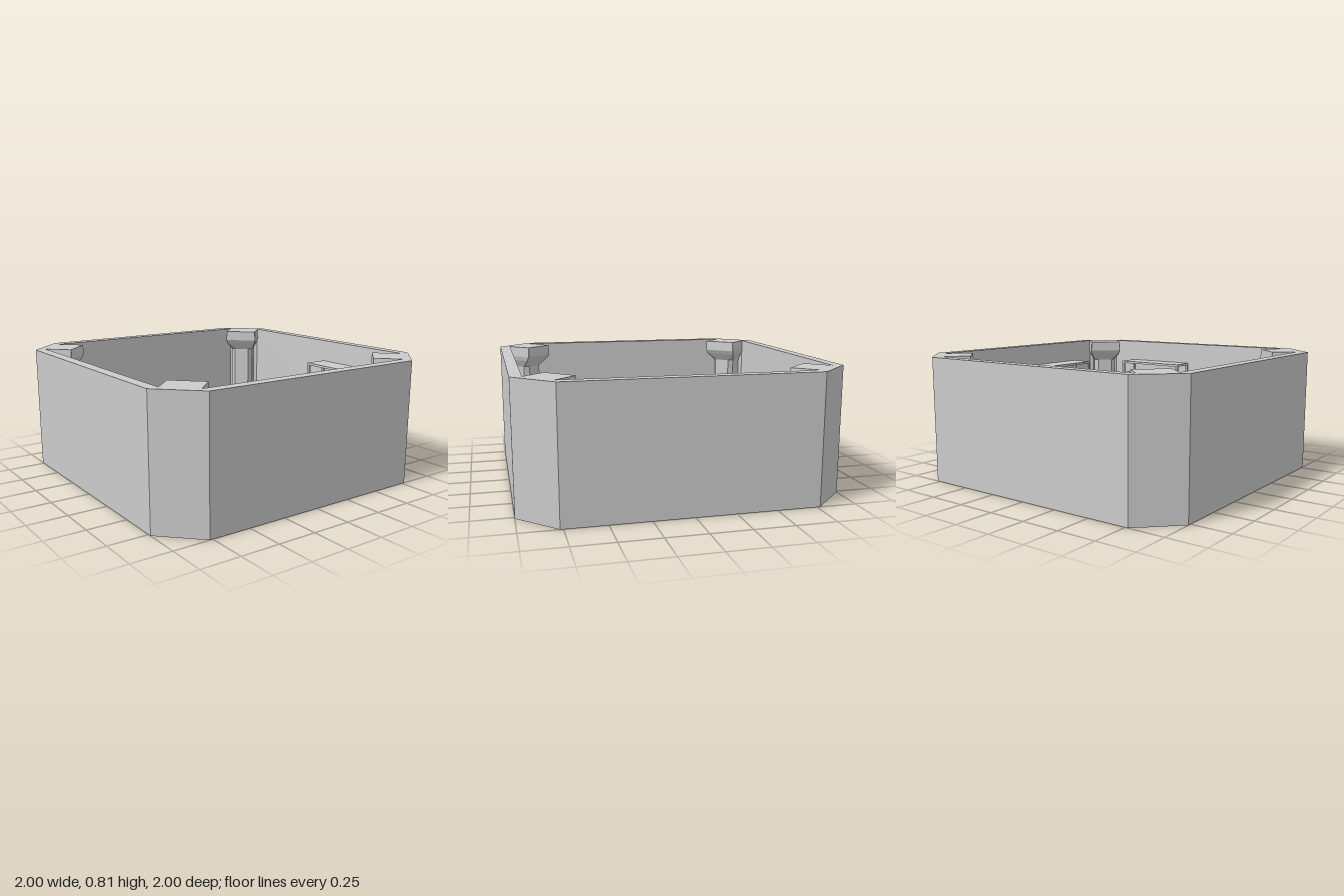
import * as THREE from 'three';

const grey = new THREE.MeshStandardMaterial({ color: 0xcccccc, flatShading: true });
const thin = new THREE.MeshStandardMaterial({ color: 0xcccccc, side: THREE.DoubleSide });
const FLOOR = 0.05, TOP = 0.81;

function add(parent, name, geometry, x = 0, y = 0, z = 0, material = grey) {
  const mesh = new THREE.Mesh(geometry, material);
  mesh.name = name;
  mesh.position.set(x, y, z);
  parent.add(mesh);
  return mesh;
}
const box = (parent, name, w, h, d, x, y, z) =>
  add(parent, name, new THREE.BoxGeometry(w, h, d), x, y, z);

function group(parent, name, x, z, turn) {
  const g = new THREE.Group();
  g.name = name;
  g.position.set(x, 0, z);
  g.rotation.y = turn;
  parent.add(g);
  return g;
}

// Square with cut corners: half side s, corners starting at c
const octagon = (s, c) => [[c, -s], [s, -c], [s, c], [c, s], [-c, s], [-s, c], [-s, -c], [-c, -s]]
  .map(([x, y]) => new THREE.Vector2(x, y));

const rectangle = (w, d) => [[-w, -d], [w, -d], [w, d], [-w, d]]
  .map(([x, y]) => new THREE.Vector2(x / 2, y / 2));

// Upright extrusion of an outline with an optional hole
function slab(outline, height, hole) {
  const shape = new THREE.Shape(outline);
  if (hole) shape.holes.push(new THREE.Path(hole));
  return new THREE.ExtrudeGeometry(shape, { depth: height, bevelEnabled: false }).rotateX(-Math.PI / 2);
}

// Loft through pillar levels [y, halfWidth, depth, cornerCut], back at z = 0
function pillarGeometry(levels) {
  const rings = levels.map(([y, w, d, c]) =>
    [[-w, 0], [-w, d - c], [c - w, d], [w - c, d], [w, d - c], [w, 0]].map(([x, z]) => [x, y, z]));
  const p = [];
  for (let k = 0; k < rings.length - 1; k++) {
    const a = rings[k], b = rings[k + 1];
    for (let i = 0; i < 6; i++) {
      const j = (i + 1) % 6;
      p.push(...a[i], ...a[j], ...b[j], ...a[i], ...b[j], ...b[i]);
    }
  }
  const top = rings[rings.length - 1];
  for (let i = 1; i < 5; i++) p.push(...top[0], ...top[i], ...top[i + 1]);
  const g = new THREE.BufferGeometry();
  g.setAttribute('position', new THREE.Float32BufferAttribute(p, 3));
  g.computeVertexNormals();
  return g;
}

function makeDesk(parent, x, z, turn) {
  const desk = group(parent, 'desk', x, z, turn);
  box(desk, 'deskTop', 0.47, 0.015, 0.2, 0, 0.207, 0);
  for (const sx of [-1, 1]) for (const sz of [-1, 1])
    box(desk, 'deskLeg', 0.014, 0.15, 0.014, sx * 0.222, 0.125, sz * 0.087);
  // Curved screen standing on the back of the desk
  const r = 0.18, arc = 1.32;
  add(desk, 'curvedScreen',
    new THREE.CylinderGeometry(r, r, 0.1, 32, 1, true, Math.PI - arc, arc * 2), 0.005, 0.275, 0.098, thin);
  for (const a of [-1.1, -0.5, 0.5, 1.1])
    box(desk, 'screenFoot', 0.01, 0.016, 0.01, 0.005 + r * Math.sin(a), 0.222, 0.098 - r * Math.cos(a));
  // Keyboard and mouse
  box(desk, 'keyboard', 0.15, 0.005, 0.044, -0.01, 0.217, 0.045);
  for (let row = 0; row < 4; row++) for (let col = 0; col < 13; col++)
    box(desk, 'key', 0.008, 0.004, 0.007, -0.076 + col * 0.011, 0.221, 0.03 + row * 0.01);
  box(desk, 'mouse', 0.014, 0.008, 0.022, 0.105, 0.218, 0.045);
}

function makeChair(parent, x, z, turn) {
  const chair = group(parent, 'chair', x, z, turn);
  box(chair, 'chairSeat', 0.1, 0.014, 0.09, 0, 0.135, 0);
  const back = box(chair, 'chairBack', 0.1, 0.095, 0.012, 0, 0.195, 0.04);
  back.rotation.x = 0.1;
  box(chair, 'chairBackArm', 0.018, 0.05, 0.008, 0, 0.15, 0.043);
  add(chair, 'chairPost', new THREE.CylinderGeometry(0.008, 0.008, 0.075, 8), 0, 0.095, 0);
  for (const a of [0, Math.PI / 2])
    box(chair, 'chairFoot', 0.085, 0.01, 0.012, 0, 0.056, 0).rotation.y = a;
}

// Storage bin with a sloping front, seen from the side and extruded along x
function binGeometry(width) {
  const side = [[-0.05, 0], [0.075, 0], [0.1, 0.055], [0.05, 0.1], [-0.05, 0.1]];
  return new THREE.ExtrudeGeometry(new THREE.Shape(side.map(([x, y]) => new THREE.Vector2(x, y))),
    { depth: width, bevelEnabled: false }).rotateY(-Math.PI / 2).translate(width / 2, 0, 0);
}

function makeRack(parent, x, z, turn) {
  const rack = group(parent, 'shelfRack', x, z, turn);
  for (const sx of [-1, 1]) for (const sz of [-1, 1])
    box(rack, 'rackPost', 0.016, 0.6, 0.016, sx * 0.257, 0.35, sz * 0.072);
  const shelves = [0.09, 0.275, 0.46, 0.65];
  for (const y of shelves) box(rack, 'shelf', 0.53, 0.016, 0.16, 0, y, 0);
  // Which of the three places on each shelf hold a bin
  const filled = [[1, 1, 0], [1, 1, 1], [1, 1, 1]];
  const bin = binGeometry(0.15).rotateY(Math.PI);
  bin.scale(-1, 1, -1);
  filled.forEach((row, i) => row.forEach((on, k) => {
    if (on) add(rack, 'storageBin', bin, -0.17 + k * 0.16, shelves[i] + 0.008, 0, binMaterial);
  }));
}
const binMaterial = new THREE.MeshStandardMaterial({ color: 0xcccccc, flatShading: true, side: THREE.DoubleSide });

export function createModel() {
  const model = new THREE.Group();
  model.name = 'room';

  // Shell
  add(model, 'walls', slab(octagon(1, 0.77), TOP, octagon(0.93, 0.77)));
  add(model, 'floor', slab(octagon(0.935, 0.77), FLOOR));

  // Corner pillars with flared base and capital
  const pillar = pillarGeometry([
    [0.045, 0.127, 0.2, 0.002], [0.17, 0.127, 0.2, 0.002], [0.25, 0.085, 0.14, 0.03],
    [0.66, 0.085, 0.14, 0.03], [0.71, 0.112, 0.175, 0.004], [0.74, 0.12, 0.192, 0.002],
    [TOP, 0.115, 0.19, 0.002],
  ]);
  for (const sx of [-1, 1]) for (const sz of [-1, 1]) {
    const mesh = add(model, 'cornerPillar', pillar, sx * 0.853, 0, sz * 0.853);
    mesh.rotation.y = Math.atan2(-sx, -sz);
  }

  // Central table with a raised rim
  const table = group(model, 'centralTable', 0.04, 0.003, 0);
  box(table, 'tableBody', 0.76, 0.26, 0.33, 0, 0.18, 0);
  add(table, 'tableRim', slab(rectangle(0.76, 0.33), 0.03, rectangle(0.74, 0.31)), 0, 0.31, 0);

  // Work places and storage
  makeDesk(model, -0.405, -0.83, 0);
  makeDesk(model, -0.83, -0.375, Math.PI / 2);
  makeChair(model, -0.405, -0.645, 0);
  makeChair(model, -0.63, -0.395, Math.PI / 2 + 0.14);
  makeRack(model, 0.305, -0.85, 0);
  makeRack(model, 0.845, -0.315, -Math.PI / 2);
  return model;
}
